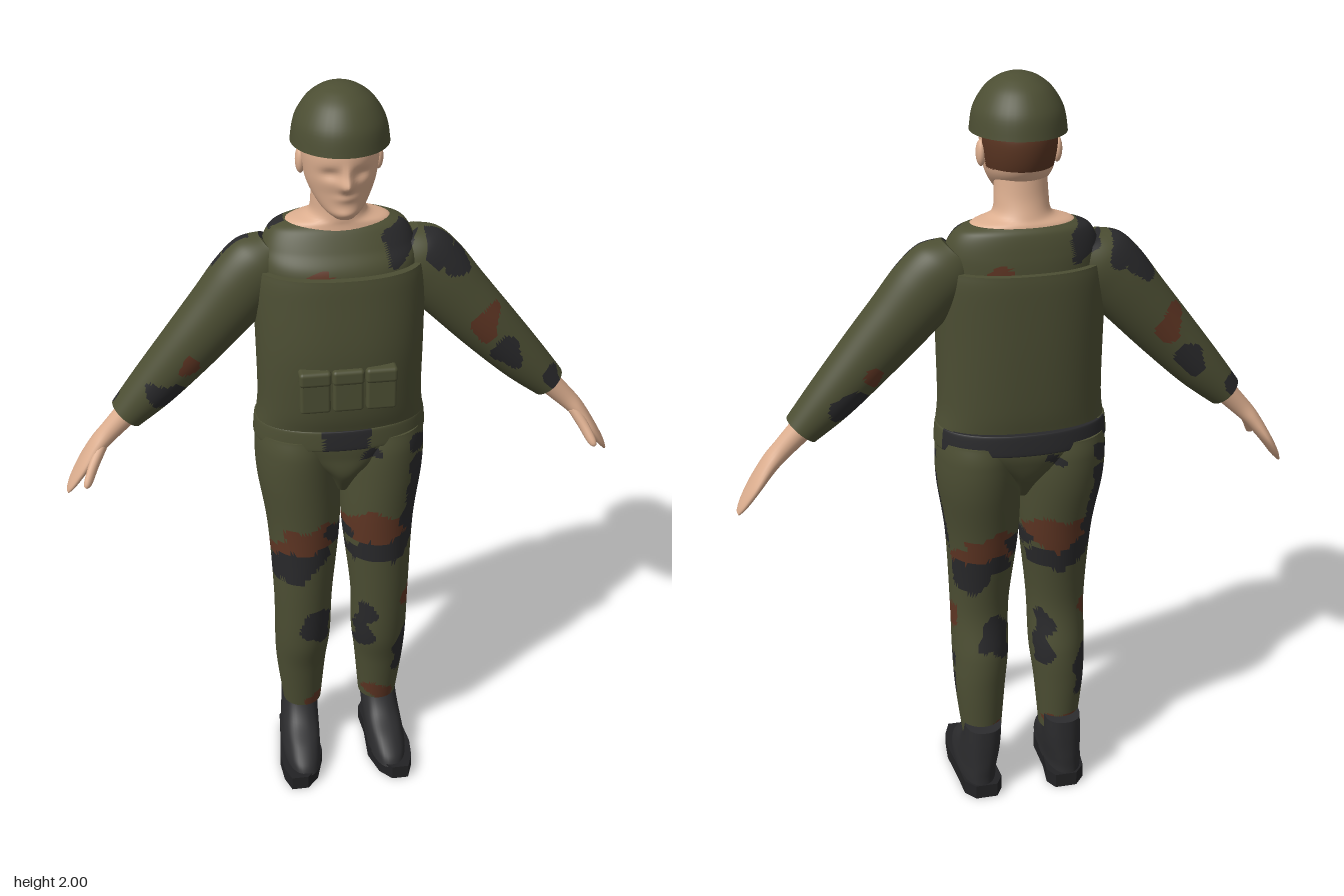
import * as THREE from 'three';
import { RoundedBoxGeometry } from 'three/addons/geometries/RoundedBoxGeometry.js';

const mat = (name, color) => {
  const m = new THREE.MeshStandardMaterial({ color });
  m.name = name;
  return m;
};
const catmull = (a, b, c, d, t) => 0.5 * (2 * b + (c - a) * t
  + (2 * a - 5 * b + 4 * c - d) * t * t + (3 * b - a - 3 * c + d) * t * t * t);
const bump = (x, y, cx, cy, rx, ry) => Math.exp(-(((x - cx) / rx) ** 2) - ((y - cy) / ry) ** 2);

// Smooth closed body through rings [x, y, z, radiusU, radiusZ], listed upwards.
// tilt leans the rings, paint picks a material index per face, sculpt moves vertices.
function loft(rows, { n = 40, sub = 6, tilt = 0, power = 2, side = 1, stretch = 1, paint, sculpt } = {}) {
  const rings = [];
  const at = i => rows[Math.min(Math.max(i, 0), rows.length - 1)];
  for (let i = 0; i < rows.length - 1; i++) {
    const steps = i === rows.length - 2 ? sub + 1 : sub;
    for (let s = 0; s < steps; s++) {
      rings.push(rows[i].map((_, k) => catmull(at(i - 1)[k], at(i)[k], at(i + 1)[k], at(i + 2)[k], s / sub)));
    }
  }
  const pts = [], faces = [];
  const round = v => Math.sign(v) * Math.abs(v) ** (2 / power);
  const addRing = ([x, y, z, ru, rz]) => {
    for (let j = 0; j < n; j++) {
      const a = j / n * Math.PI * 2, u = ru * round(Math.cos(a)), v = rz * round(Math.sin(a));
      const p = new THREE.Vector3(x + u * Math.cos(tilt), y + u * Math.sin(tilt), z + v);
      if (sculpt) sculpt(p);
      p.x *= side * stretch;
      pts.push(p);
    }
  };
  rings.forEach(addRing);
  for (let i = 0; i < rings.length - 1; i++) for (let j = 0; j < n; j++) {
    const p = i * n + j, q = i * n + (j + 1) % n;
    faces.push([p, p + n, q], [q, p + n, q + n]);
  }
  // flat end caps with their own vertices
  [rings[0], rings[rings.length - 1]].forEach((ring, top) => {
    const start = pts.length;
    addRing(ring);
    pts.push(new THREE.Vector3(ring[0] * side * stretch, ring[1], ring[2]));
    for (let j = 0; j < n; j++) {
      const p = start + j, q = start + (j + 1) % n;
      faces.push(top ? [p, start + n, q] : [p, q, start + n]);
    }
  });
  const buckets = [[], [], []];
  for (const f of faces) {
    const c = new THREE.Vector3();
    f.forEach(k => c.addScaledVector(pts[k], 1 / 3));
    buckets[paint ? paint(c) : 0].push(...(side < 0 ? [f[0], f[2], f[1]] : f));
  }
  const g = new THREE.BufferGeometry().setFromPoints(pts);
  g.setIndex(buckets.flat());
  if (paint) {
    let start = 0;
    buckets.forEach((b, k) => {
      if (b.length) g.addGroup(start, b.length, k);
      start += b.length;
    });
  }
  g.computeVertexNormals();
  return g;
}

// Camouflage patches [x, y, radiusX, radiusY, colour]; the back mirrors the front.
const patches = [
  [-0.15, 0.69, 0.05, 0.045, 1], [-0.09, 0.73, 0.06, 0.03, 1], [-0.02, 0.79, 0.04, 0.03, 1],
  [-0.08, 0.79, 0.085, 0.045, 2], [-0.16, 0.75, 0.03, 0.03, 2],
  [0.2, 0.95, 0.035, 0.07, 1], [0.185, 0.84, 0.035, 0.07, 1], [0.14, 0.75, 0.05, 0.04, 1],
  [0.06, 0.73, 0.055, 0.03, 1], [0.09, 0.81, 0.09, 0.055, 2],
  [-0.085, 0.51, 0.04, 0.05, 1], [-0.06, 0.46, 0.025, 0.04, 1],
  [0.06, 0.51, 0.025, 0.04, 1], [0.055, 0.43, 0.025, 0.05, 1], [0.165, 0.35, 0.025, 0.08, 1],
  [0.18, 0.54, 0.02, 0.035, 2], [0.11, 0.2, 0.045, 0.03, 2], [-0.08, 0.19, 0.03, 0.02, 2],
  [0.19, 1.05, 0.03, 0.025, 1], [0.06, 1.05, 0.03, 0.015, 1],
  [-0.07, 1.535, 0.05, 0.025, 2], [0.14, 1.61, 0.04, 0.045, 1],
  [0.245, 1.59, 0.04, 0.05, 1], [0.29, 1.53, 0.035, 0.035, 1], [0.37, 1.37, 0.035, 0.05, 2],
  [0.43, 1.28, 0.04, 0.045, 1], [0.56, 1.19, 0.025, 0.035, 1],
  [-0.45, 1.23, 0.05, 0.035, 1], [-0.38, 1.3, 0.025, 0.03, 2],
];
function camouflage(p) {
  const x = (p.z < -0.045 ? -p.x : p.x) + 0.008 * Math.sin(p.y * 70);
  const y = p.y + 0.012 * Math.sin(p.x * 55 + 1);
  const hit = patches.find(([cx, cy, rx, ry]) => ((x - cx) / rx) ** 2 + ((y - cy) / ry) ** 2 < 1);
  return hit ? hit[4] : 0;
}

export function createModel() {
  const olive = mat('olive cloth', 0x4c4e33), black = mat('black patches', 0x29292b);
  const brown = mat('brown patches', 0x5e3523), skin = mat('skin', 0xdcae8f);
  const hairMat = mat('brown hair', 0x5a3522), bootMat = mat('boot leather', 0x2c2c2e);
  const soleMat = mat('boot sole', 0x222224);
  const camo = [olive, black, brown];
  const model = new THREE.Group();
  model.name = 'soldier';
  const body = new THREE.Group();
  body.name = 'body';
  body.position.x = -0.012;
  model.add(body);
  const add = (name, geometry, material) => {
    const m = new THREE.Mesh(geometry, material);
    m.name = name;
    body.add(m);
    return m;
  };

  // head with brow, eye hollows, nose and mouth; hair is the back of the skull
  add('head', loft([
    [0, 1.7, 0.05, 0.025, 0.03], [0, 1.72, 0.025, 0.052, 0.062], [0, 1.76, -0.004, 0.077, 0.093],
    [0, 1.8, -0.012, 0.088, 0.109], [0, 1.86, -0.014, 0.093, 0.113], [0, 1.91, -0.014, 0.08, 0.09],
  ], {
    n: 72, sub: 10,
    paint: p => (p.z < -0.035 && p.y > 1.785 - 0.3 * Math.min(0, p.z + 0.065) * 0.1 ? 1 : 0),
    sculpt: p => {
      if (p.z < 0.02) return;
      const ax = Math.abs(p.x);
      p.z += 0.024 * bump(p.x, p.y, 0, 1.79, 0.014, 0.016) + 0.012 * bump(p.x, p.y, 0, 1.81, 0.011, 0.022)
        - 0.011 * bump(ax, p.y, 0.036, 1.815, 0.022, 0.014) + 0.005 * bump(p.x, p.y, 0, 1.755, 0.025, 0.01)
        + 0.006 * bump(p.x, p.y, 0, 1.715, 0.03, 0.012);
    },
  }), [skin, hairMat]);
  for (const s of [1, -1]) {
    const ear = add(s > 0 ? 'leftEar' : 'rightEar', new THREE.SphereGeometry(1, 16, 12), skin);
    ear.scale.set(0.012, 0.032, 0.02);
    ear.position.set(s * 0.093, 1.815, -0.022);
  }
  add('neck', loft([
    [0, 1.62, -0.055, 0.145, 0.08], [0, 1.655, -0.055, 0.128, 0.073], [0, 1.675, -0.05, 0.075, 0.068],
    [0, 1.72, -0.043, 0.066, 0.06], [0, 1.79, -0.035, 0.064, 0.06],
  ]), skin);

  // helmet dome
  const dome = [0, 0.25, 0.5, 0.7, 0.85, 0.95, 0.995].map(t => {
    const a = t * Math.PI / 2;
    return [0, 1.865 + 0.135 * Math.sin(a), -0.011, 0.117 * Math.cos(a), 0.132 * Math.cos(a)];
  });
  add('helmet', loft(dome), olive);

  // shirt, vest and pouches
  add('shirt', loft([
    [0, 1.42, -0.035, 0.19, 0.12], [0, 1.545, -0.037, 0.197, 0.118], [0, 1.6, -0.05, 0.188, 0.1],
    [0, 1.64, -0.058, 0.165, 0.083], [0, 1.655, -0.06, 0.13, 0.07],
  ], { n: 72, sub: 10, power: 2.2, paint: camouflage }), camo);
  add('vest', loft([
    [0, 1.135, -0.03, 0.217, 0.126], [0, 1.2, -0.027, 0.21, 0.138], [0, 1.35, -0.026, 0.211, 0.147],
    [0, 1.5, -0.034, 0.213, 0.141], [0, 1.55, -0.036, 0.207, 0.136],
  ], { n: 56, power: 2.3 }), olive);
  for (const x of [-0.082, 0, 0.083]) {
    const pouch = add('pouch', new RoundedBoxGeometry(0.076, 0.105, 0.046, 3, 0.008), olive);
    pouch.position.set(x, 1.263, 0.107);
    const flap = add('pouchFlap', new RoundedBoxGeometry(0.08, 0.04, 0.052, 3, 0.01), olive);
    flap.position.set(x, 1.306, 0.109);
  }

  // belt, dark at the buckle and around the back
  add('belt', loft([
    [0, 1.08, -0.037, 0.22, 0.136], [0, 1.085, -0.037, 0.224, 0.14], [0, 1.13, -0.036, 0.22, 0.137],
    [0, 1.135, -0.036, 0.215, 0.132],
  ], { n: 96, power: 2.2, paint: p => (p.z < -0.085 || (p.z > 0 && Math.abs(p.x) < 0.06) ? 1 : 0) }), [olive, black]);
  add('trouserSeat', loft([
    [0, 0.92, -0.02, 0.02, 0.06], [0, 0.99, -0.025, 0.06, 0.115], [0, 1.05, -0.035, 0.16, 0.132],
    [0, 1.09, -0.037, 0.217, 0.137], [0, 1.12, -0.037, 0.215, 0.133],
  ], { n: 72, sub: 8, power: 2.2, paint: camouflage }), camo);

  // boot sole outline, seen from above
  const sole = new THREE.Shape([
    [0.085, 0.132], [0.145, 0.132], [0.172, 0.1], [0.178, 0.03], [0.19, -0.07], [0.185, -0.13],
    [0.168, -0.175], [0.122, -0.175], [0.09, -0.14], [0.068, -0.07], [0.072, 0.03], [0.066, 0.1],
  ].map(([x, y]) => new THREE.Vector2(x, y)));

  for (const side of [1, -1]) {
    const label = side > 0 ? 'left' : 'right';
    // legs
    add(label + 'TrouserLeg', loft([
      [0.11, 0.17, -0.04, 0.054, 0.055], [0.112, 0.32, -0.032, 0.069, 0.074], [0.108, 0.43, -0.019, 0.077, 0.088],
      [0.106, 0.58, -0.004, 0.08, 0.085], [0.1, 0.8, -0.018, 0.097, 0.108], [0.11, 0.96, -0.032, 0.109, 0.13],
      [0.113, 1.05, -0.036, 0.109, 0.134], [0.11, 1.1, -0.037, 0.108, 0.125],
    ], { n: 72, sub: 12, side, paint: camouflage }), camo);

    // boots
    add(label + 'Boot', loft([
      [0.124, 0.035, 0.018, 0.054, 0.148], [0.124, 0.06, 0.01, 0.054, 0.139], [0.121, 0.09, -0.012, 0.053, 0.118],
      [0.118, 0.125, -0.045, 0.052, 0.085], [0.115, 0.17, -0.065, 0.051, 0.066], [0.113, 0.218, -0.074, 0.05, 0.057],
    ], { side, power: 2.4 }), bootMat);
    const soleMesh = add(label + 'BootSole', new THREE.ExtrudeGeometry(
      side > 0 ? sole : new THREE.Shape(sole.getPoints().map(p => new THREE.Vector2(-p.x, p.y)).reverse()),
      { depth: 0.042, bevelEnabled: false }), soleMat);
    soleMesh.rotation.x = -Math.PI / 2;

    // arms, the left one reaching slightly further
    const stretch = side > 0 ? 1.025 : 1;
    const tilt = 0.75;
    add(label + 'Sleeve', loft([
      [0.545, 1.155, -0.048, 0.046, 0.05], [0.47, 1.232, -0.048, 0.062, 0.06], [0.375, 1.337, -0.047, 0.075, 0.068],
      [0.3, 1.422, -0.049, 0.083, 0.073], [0.235, 1.497, -0.051, 0.09, 0.076], [0.185, 1.548, -0.053, 0.087, 0.073],
      [0.15, 1.58, -0.054, 0.06, 0.055],
    ], { n: 64, sub: 12, tilt, side, stretch, paint: camouflage }), camo);
    add(label + 'Hand', loft([
      [0.712, 0.94, -0.045, 0.005, 0.018], [0.697, 0.965, -0.046, 0.011, 0.036], [0.665, 1.015, -0.047, 0.016, 0.049],
      [0.625, 1.07, -0.046, 0.022, 0.038], [0.59, 1.108, -0.046, 0.026, 0.03], [0.53, 1.17, -0.047, 0.032, 0.034],
    ], { n: 24, tilt, side, stretch }), skin);
    add(label + 'Thumb', loft([
      [0.663, 0.99, 0.03, 0.006, 0.007], [0.655, 1.002, 0.022, 0.012, 0.014], [0.635, 1.04, -0.005, 0.014, 0.017],
      [0.61, 1.08, -0.03, 0.014, 0.018],
    ], { n: 16, tilt, side, stretch }), skin);
  }
  return model;
}
